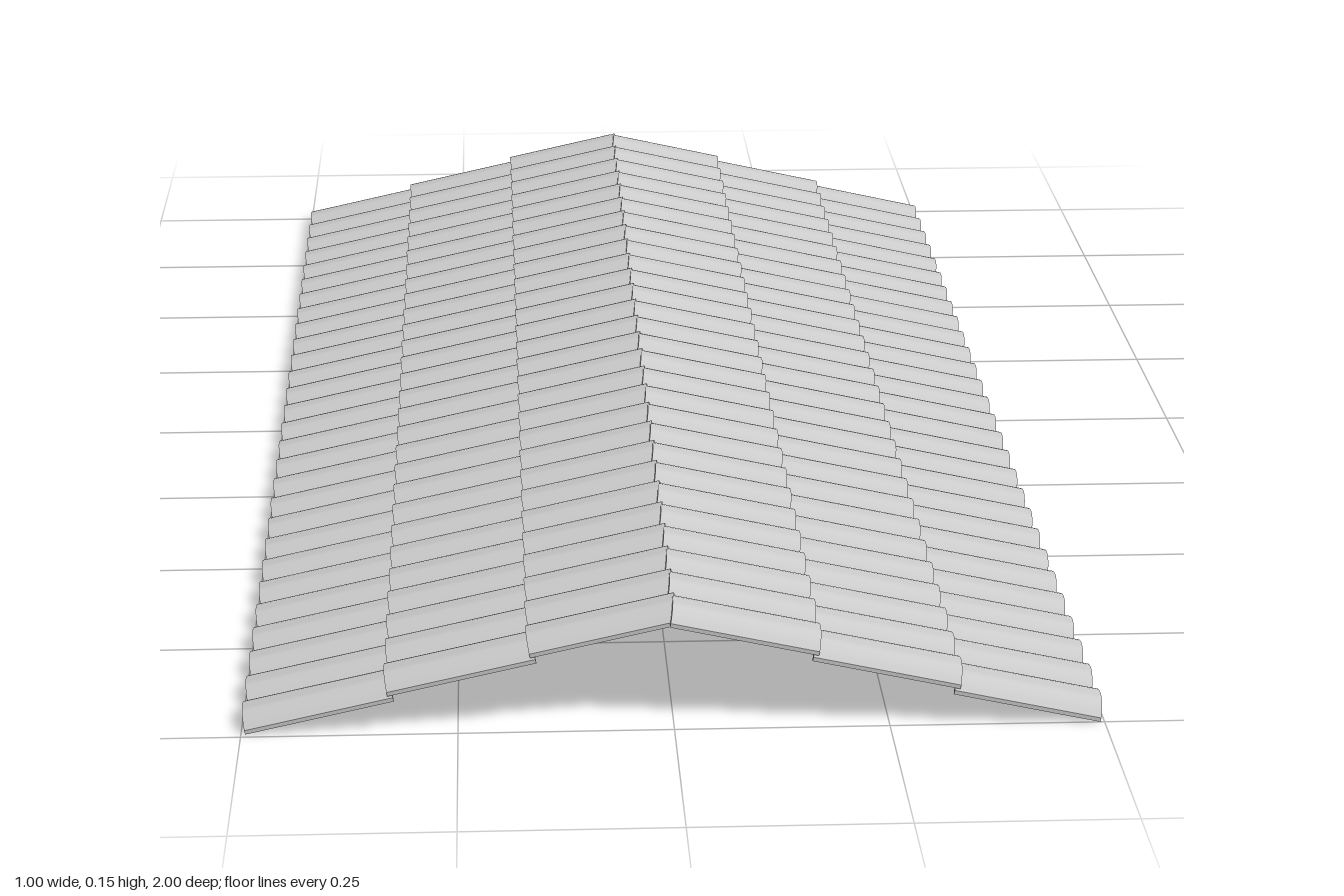
import * as THREE from 'three';
import { toCreasedNormals } from 'three/addons/utils/BufferGeometryUtils.js';

const COLUMNS = 28, ROWS = 3;
const PITCH = 1.993 / COLUMNS;   // tile width along the ridge
const LENGTH = 0.176, HEIGHT = 0.022, THICK = 0.004;
const TILT = 0.22;               // slope of a single tile

// Arched tile: shallow arc section with short upright lips, running along +x
function tileGeometry() {
  const w = PITCH / 2, lip = 0.005, n = 12;
  const arc = (half, base, top) => {
    const rise = top - base, r = (half * half + rise * rise) / (2 * rise);
    const a = Math.asin(half / r);
    return Array.from({ length: n + 1 }, (_, i) => {
      const t = -a + (2 * a * i) / n;
      return new THREE.Vector2(r * Math.sin(t), top - r + r * Math.cos(t));
    });
  };
  const outer = arc(w, lip, HEIGHT);
  const inner = arc(w - THICK * 0.6, 0, HEIGHT - THICK).reverse();
  const shape = new THREE.Shape([
    new THREE.Vector2(-w, 0), ...outer, new THREE.Vector2(w, 0), ...inner,
  ]);
  const geo = new THREE.ExtrudeGeometry(shape, { depth: LENGTH, bevelEnabled: false });
  geo.rotateY(Math.PI / 2);
  return toCreasedNormals(geo, 0.5);
}

// One slope: overlapping rows climbing from the eave to the ridge
function roofSlope(name, geo, mat) {
  const slope = new THREE.Group();
  slope.name = name;
  for (let r = 0; r < ROWS; r++) {
    const row = new THREE.Group();
    row.name = `tileRow${r + 1}`;
    row.position.set(-0.495 + r * 0.1645, r * 0.045, -0.0035);
    row.rotation.z = TILT;
    for (let c = 0; c < COLUMNS; c++) {
      const tile = new THREE.Mesh(geo, mat);
      tile.name = 'roofTile';
      tile.position.z = (c - (COLUMNS - 1) / 2) * PITCH;
      row.add(tile);
    }
    slope.add(row);
  }
  return slope;
}

export function createModel() {
  const model = new THREE.Group();
  model.name = 'tiledRoof';
  const mat = new THREE.MeshStandardMaterial({ color: 0xcccccc, side: THREE.DoubleSide });
  const geo = tileGeometry();
  const right = roofSlope('rightSlope', geo, mat);
  // The opposite slope is the same one turned half round
  const left = roofSlope('leftSlope', geo, mat);
  left.rotation.y = Math.PI;
  model.add(right, left);
  return model;
}
